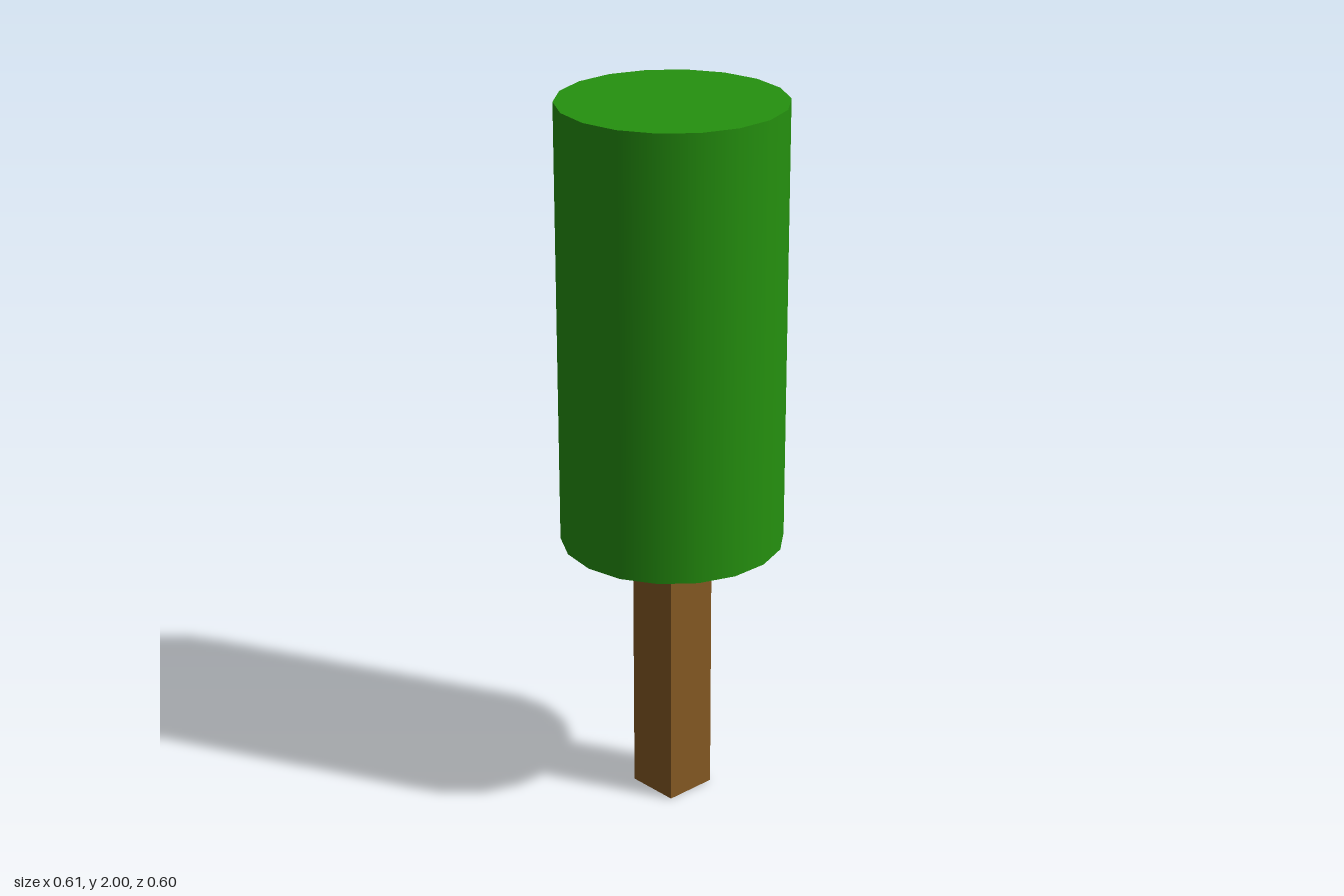
import * as THREE from 'three';

export function createModel() {
  const group = new THREE.Group();
  const base = 0.77; // height where the foliage begins
  const top = 2;

  const addPart = (name, geometry, color, y) => {
    const mesh = new THREE.Mesh(geometry, new THREE.MeshStandardMaterial({ color }));
    mesh.name = name;
    mesh.position.y = y;
    group.add(mesh);
  };

  // Square trunk
  addPart('trunk', new THREE.BoxGeometry(0.153, base, 0.153), 0x855923, base / 2);

  // Smooth 18-sided foliage, turned so a corner points along x
  const foliage = new THREE.CylinderGeometry(0.307, 0.307, top - base, 18);
  foliage.rotateY(Math.PI / 2);
  addPart('foliage', foliage, 0x25910f, (base + top) / 2);

  return group;
}
